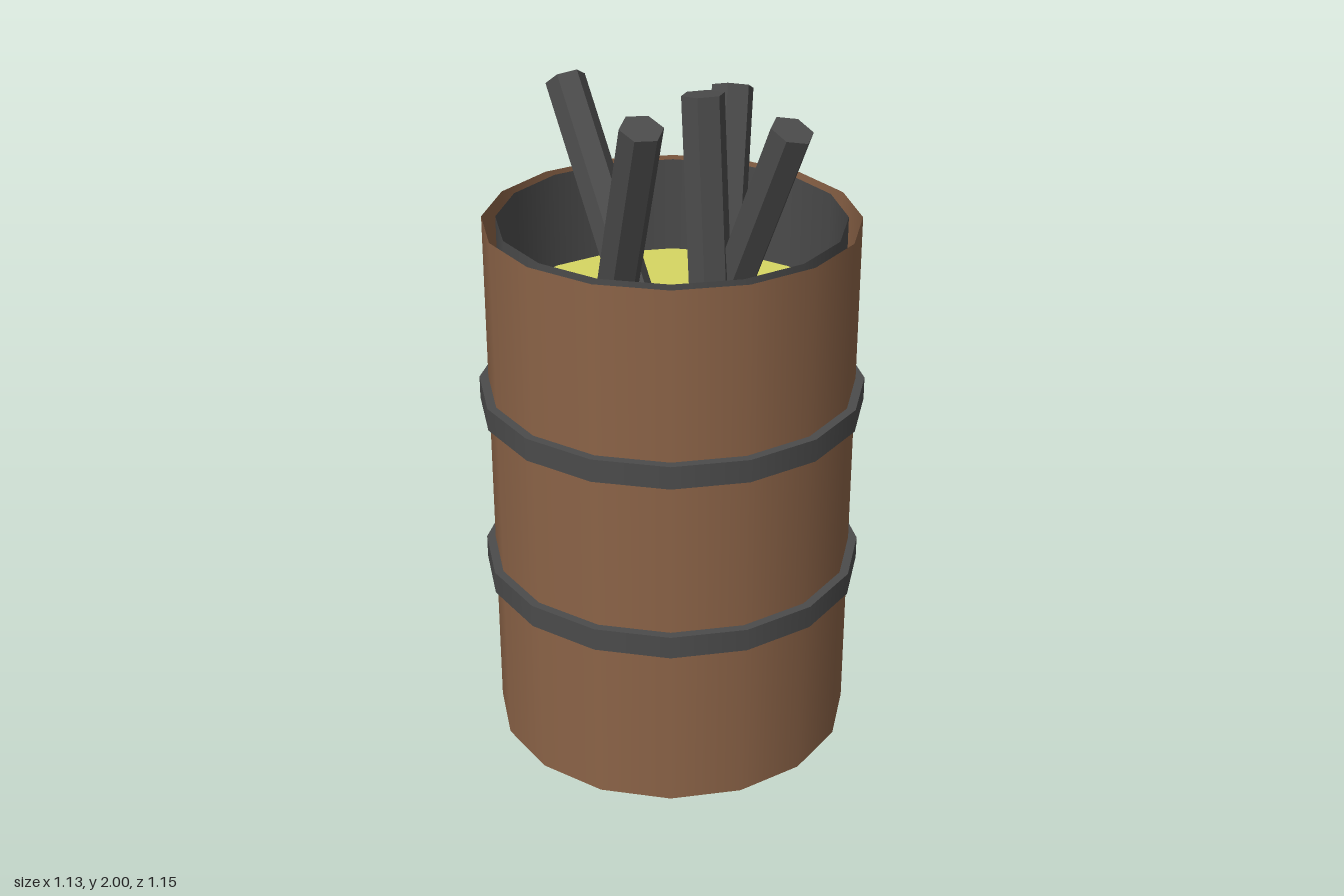
import * as THREE from 'three';

export function createModel() {
  const model = new THREE.Group();
  const rust = new THREE.MeshStandardMaterial({ name: 'rustBrown', color: 0x8b6347, side: THREE.DoubleSide });
  const iron = new THREE.MeshStandardMaterial({ name: 'darkIron', color: 0x4b4b4b, side: THREE.DoubleSide });
  const fill = new THREE.MeshStandardMaterial({ name: 'paleYellow', color: 0xd6d662 });

  const SIDES = 16, R = 0.537, RIM = 1.61, FILL_Y = 1.32;
  const drum = new THREE.Group();
  drum.name = 'drum';
  drum.position.z = 0.01;
  model.add(drum);

  const add = (parent, name, geometry, material, y) => {
    const mesh = new THREE.Mesh(geometry, material);
    mesh.name = name;
    mesh.position.y = y;
    parent.add(mesh);
    return mesh;
  };
  const tube = (r, h) => new THREE.CylinderGeometry(r, r, h, SIDES, 1, true);

  // Outer shell and a thinner liner, with an open gap between them at the rim
  add(drum, 'shell', tube(R, RIM), rust, RIM / 2);
  add(drum, 'liner', tube(0.497, RIM - 0.01), iron, RIM / 2 + 0.005);

  // Underside
  const base = new THREE.CircleGeometry(R, SIDES).rotateX(Math.PI / 2);
  add(drum, 'base', base, iron, 0);

  // Hoops run right through the wall, so they also close the rim gap
  for (const y of [0.54, 1.078]) {
    add(drum, 'hoop', new THREE.CylinderGeometry(0.563, 0.563, 0.068, SIDES), iron, y);
  }

  // Surface of the contents
  const surface = new THREE.CircleGeometry(0.497, SIDES).rotateX(-Math.PI / 2);
  add(drum, 'contents', surface, fill, FILL_Y);

  // Hexagonal rods: centre of the top end, then where each meets the contents
  const rods = [
    [[0.085, 1.88, -0.525], [-0.028, -0.11]],
    [[-0.265, 1.963, 0.165], [-0.17, -0.06]],
    [[0.235, 1.94, 0.015], [0.01, 0.19]],
    [[0.003, 1.99, 0.125], [-0.03, 0.2]],
    [[0.038, 1.948, 0.418], [0.048, 0.15]],
  ];
  const up = new THREE.Vector3(0, 1, 0);
  for (const [tip, [x, z]] of rods) {
    const top = new THREE.Vector3(...tip);
    const foot = new THREE.Vector3(x, FILL_Y, z);
    const dir = top.clone().sub(foot).normalize();
    foot.addScaledVector(dir, -0.1); // sunk below the surface
    const length = top.distanceTo(foot);
    const geometry = new THREE.CylinderGeometry(0.061, 0.061, length, 6).toNonIndexed();
    geometry.computeVertexNormals();
    const rod = add(model, 'rod', geometry, iron, 0);
    rod.position.copy(top).add(foot).multiplyScalar(0.5);
    rod.quaternion.setFromUnitVectors(up, dir);
  }

  return model;
}
